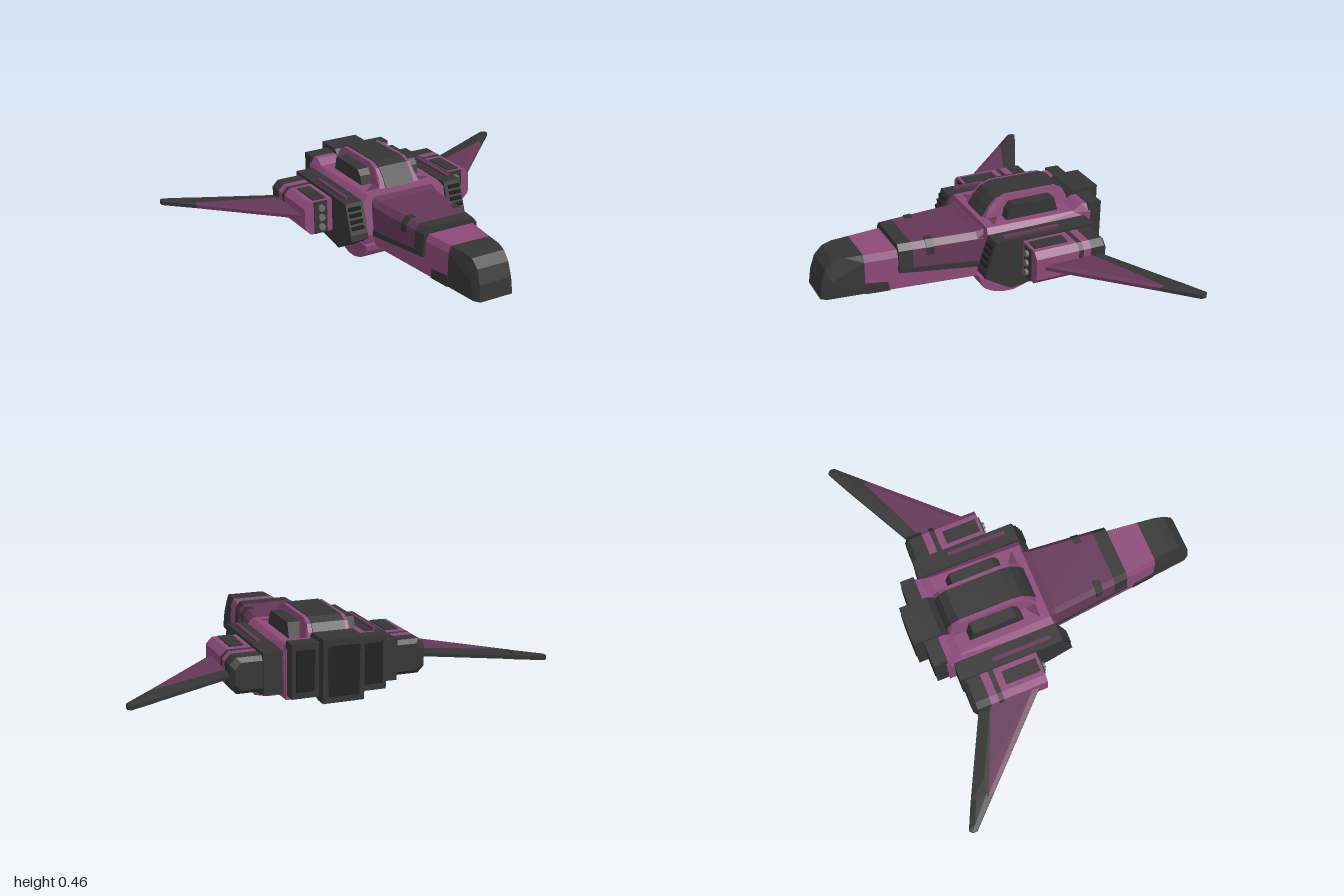
import * as THREE from 'three';
import { ConvexGeometry } from 'three/addons/geometries/ConvexGeometry.js';

const paint = (name, color) => {
  const m = new THREE.MeshStandardMaterial({ color });
  m.name = name;
  return m;
};

export function createModel() {
  const purple = paint('purple', 0x8c4a78);
  const plum = paint('plum', 0x643757);
  const grey = paint('charcoal grey', 0x353535);
  const black = paint('vent black', 0x202020);
  const steel = paint('steel', 0x6c6c6c);

  const ship = new THREE.Group();
  ship.name = 'starfighter';
  const V = (x, y, z) => new THREE.Vector3(x, y, z);

  // Faceted solid around corner points
  const hull = (name, mat, pts) => {
    const mesh = new THREE.Mesh(new ConvexGeometry(pts), mat);
    mesh.name = name;
    ship.add(mesh);
    return mesh;
  };
  // Side profile of [z, y] pairs, swept from x0 to x1
  const sweep = (name, mat, prof, x0, x1) =>
    hull(name, mat, prof.flatMap(([z, y]) => [V(x0, y, z), V(x1, y, z)]));
  // Solid symmetric about x = 0 from [z, y, halfWidth] triples
  const sym = (name, mat, pts) =>
    hull(name, mat, pts.flatMap(([z, y, w]) => [V(w, y, z), V(-w, y, z)]));
  const box = (name, mat, x0, x1, y0, y1, z0, z1) => {
    const mesh = new THREE.Mesh(new THREE.BoxGeometry(Math.abs(x1 - x0), y1 - y0, Math.abs(z1 - z0)), mat);
    mesh.position.set((x0 + x1) / 2, (y0 + y1) / 2, (z0 + z1) / 2);
    mesh.name = name;
    ship.add(mesh);
    return mesh;
  };

  // Nose
  const noseSection = z => {
    const w = 0.125 + (0.56 - z) * 0.107;
    return [[z, 0.09, w], [z, 0.255, w - 0.005], [z, 0.29, w - 0.02]];
  };
  sym('noseTip', grey, [
    [0.775, 0.09, 0.088], [0.745, 0.09, 0.106], [0.765, 0.17, 0.086], [0.742, 0.24, 0.084],
    [0.70, 0.28, 0.088], [0.65, 0.29, 0.096], [0.72, 0.18, 0.106], ...noseSection(0.56),
  ]);
  sym('noseBody', purple, [...noseSection(0.56), ...noseSection(0)]);
  sym('noseUnderTrim', grey, [
    [0.56, 0.087, 0.127], [0.56, 0.145, 0.127], [0.45, 0.135, 0.1395], [0.44, 0.087, 0.1405],
  ]);

  // Cowl over the nose
  const cowl = (z, o = 0) => {
    const d = 0.39 - z, b = 0.155 + d * 0.09 + o;
    return [[z, 0.185 - d * 0.09, b], [z, 0.29, b - 0.008], [z, 0.32 + o, b - 0.032]];
  };
  sym('cowlFront', grey, [...cowl(0.395), ...cowl(0.325)]);
  sym('cowl', plum, [...cowl(0.325), ...cowl(-0.04)]);
  sym('cowlRear', plum, [...cowl(0), [-0.13, 0.355, 0.125], [-0.09, 0.352, 0.18], [-0.13, 0.2, 0.18]]);
  sym('cowlLowerTrim', grey, [
    [0.397, 0.18, 0.158], [0.397, 0.205, 0.158], [0.0, 0.145, 0.195], [0.0, 0.175, 0.195],
  ]);

  // Main hull, belly and rear engines
  sym('mainHull', purple, [
    [0.0, 0.15, 0.245], [-0.03, 0.30, 0.245], [-0.04, 0.35, 0.20], [-0.02, 0.09, 0.23],
    [-0.57, 0.11, 0.235], [-0.57, 0.30, 0.24], [-0.57, 0.35, 0.21],
  ]);
  sweep('belly', purple, [
    [0.01, 0.10], [0.005, 0.07], [-0.01, 0.045], [-0.05, 0.02], [-0.11, 0.002], [-0.17, 0],
    [-0.36, 0.055], [-0.36, 0.12],
  ], -0.24, 0.24);
  sym('rearCollar', purple, [
    [-0.50, 0.345, 0.21], [-0.55, 0.38, 0.21], [-0.59, 0.38, 0.21], [-0.59, 0.34, 0.235],
    [-0.59, 0.11, 0.235], [-0.50, 0.11, 0.235],
  ]);
  sweep('centreEngine', grey, [
    [-0.52, 0.36], [-0.56, 0.405], [-0.70, 0.405], [-0.70, 0.11], [-0.64, 0.11], [-0.57, 0.13],
  ], -0.1, 0.1);
  box('centreExhaust', black, -0.075, 0.075, 0.14, 0.375, -0.704, -0.698);

  // Canopy with its glazed strip
  const canopy = [
    [-0.07, 0.345], [-0.10, 0.395], [-0.14, 0.435], [-0.19, 0.452], [-0.46, 0.449],
    [-0.50, 0.428], [-0.52, 0.39], [-0.53, 0.345],
  ];
  sym('canopyFrame', purple, canopy.map(([z, y]) => [z, y, y > 0.38 ? 0.1 : 0.115]));
  sweep('canopyGlass', grey, canopy.map(([z, y]) => [-0.3 + (z + 0.3) * 1.02, y + 0.004]), -0.08, 0.08);

  // Mirrored parts
  for (const s of [1, -1]) {
    const side = s > 0 ? 'left' : 'right';
    const n = part => side + part;

    // Cowl notch plates
    const notch = [0.22, 0.258].flatMap(z => {
      const b = cowl(z, 0.004);
      return [V(s * b[1][2], 0.25, z), V(s * b[1][2], 0.29, z), V(s * b[2][2], 0.324, z), V(s * 0.105, 0.324, z)];
    });
    hull(n('CowlNotch'), grey, notch);

    // Canopy side window pod
    sweep(n('CanopySidePod'), grey, [
      [-0.16, 0.34], [-0.175, 0.395], [-0.20, 0.422], [-0.42, 0.422], [-0.445, 0.34],
    ], s * 0.095, s * 0.165);

    // Rear side engine
    sweep(n('RearEngine'), grey, [
      [-0.58, 0.385], [-0.65, 0.385], [-0.65, 0.13], [-0.58, 0.13],
    ], s * 0.1, s * 0.23);
    box(n('RearExhaust'), black, s * 0.12, s * 0.21, 0.16, 0.355, -0.654, -0.648);

    // Intake block with vent slats
    sweep(n('IntakeBlock'), grey, [
      [0.025, 0.15], [0.02, 0.18], [-0.03, 0.33], [-0.555, 0.33], [-0.555, 0.13], [-0.11, 0.07],
    ], s * 0.235, s * 0.33);
    for (let i = 0; i < 4; i++) {
      const y = 0.205 + i * 0.03;
      box(n('IntakeSlat'), black, s * 0.255, s * 0.32, y, y + 0.016, -0.03, 0.02 - i * 0.01);
    }
    box(n('BlockRail'), plum, s * 0.284, s * 0.304, 0.325, 0.342, -0.38, -0.08);

    // Weapon pod built from coloured slices
    const slice = (part, mat, z0, z1, end = 0) => {
      const ring = (z, e) => [
        [0.32, 0.315 - e], [0.45 - e, 0.315 - e], [0.48 - e, 0.285 - e],
        [0.48 - e, 0.175 + e], [0.45 - e, 0.145 + e], [0.32, 0.145 + e],
      ].map(([x, y]) => V(s * x, y, z));
      hull(n(part), mat, [...ring(z0, 0), ...ring(z1, end)]);
    };
    slice('PodFront', purple, -0.17, -0.395);
    slice('PodBand', grey, -0.395, -0.42);
    slice('PodMiddle', purple, -0.42, -0.46);
    slice('PodRear', grey, -0.46, -0.53);
    slice('PodCap', grey, -0.53, -0.55, 0.02);
    box(n('PodTopPanel'), grey, s * 0.357, s * 0.425, 0.31, 0.321, -0.36, -0.185);
    box(n('GunPanel'), grey, s * 0.36, s * 0.43, 0.147, 0.313, -0.175, -0.163);

    // Three gun barrels
    for (const y of [0.18, 0.23, 0.28]) {
      const gun = new THREE.Mesh(new THREE.CylinderGeometry(0.017, 0.017, 0.03, 12), steel);
      gun.rotation.x = Math.PI / 2;
      gun.position.set(s * 0.393, y, -0.165);
      gun.name = n('GunBarrel');
      ship.add(gun);
    }

    // Swept wing: plum panel, grey trailing edge and tip
    const wing = (part, mat, pts) =>
      hull(n(part), mat, pts.flatMap(([x, z, t]) => [V(s * x, 0.229 + t, z), V(s * x, 0.229 - t, z)]));
    wing('WingPanel', plum, [
      [0.46, -0.195, 0.008], [0.47, -0.24, 0.017], [0.46, -0.46, 0.017],
      [0.79, -0.625, 0.016], [0.865, -0.632, 0.015], [0.865, -0.605, 0.008],
    ]);
    wing('WingTrailingEdge', grey, [
      [0.46, -0.46, 0.017], [0.79, -0.625, 0.017], [0.87, -0.632, 0.016],
      [0.46, -0.52, 0.008], [0.87, -0.725, 0.008],
    ]);
    wing('WingTip', grey, [
      [0.865, -0.605, 0.008], [0.86, -0.64, 0.017], [0.86, -0.69, 0.017], [0.86, -0.72, 0.009],
      [0.985, -0.778, 0.01], [1.0, -0.765, 0.01], [1.0, -0.742, 0.01], [0.97, -0.74, 0.016],
    ]);
  }
  return ship;
}
